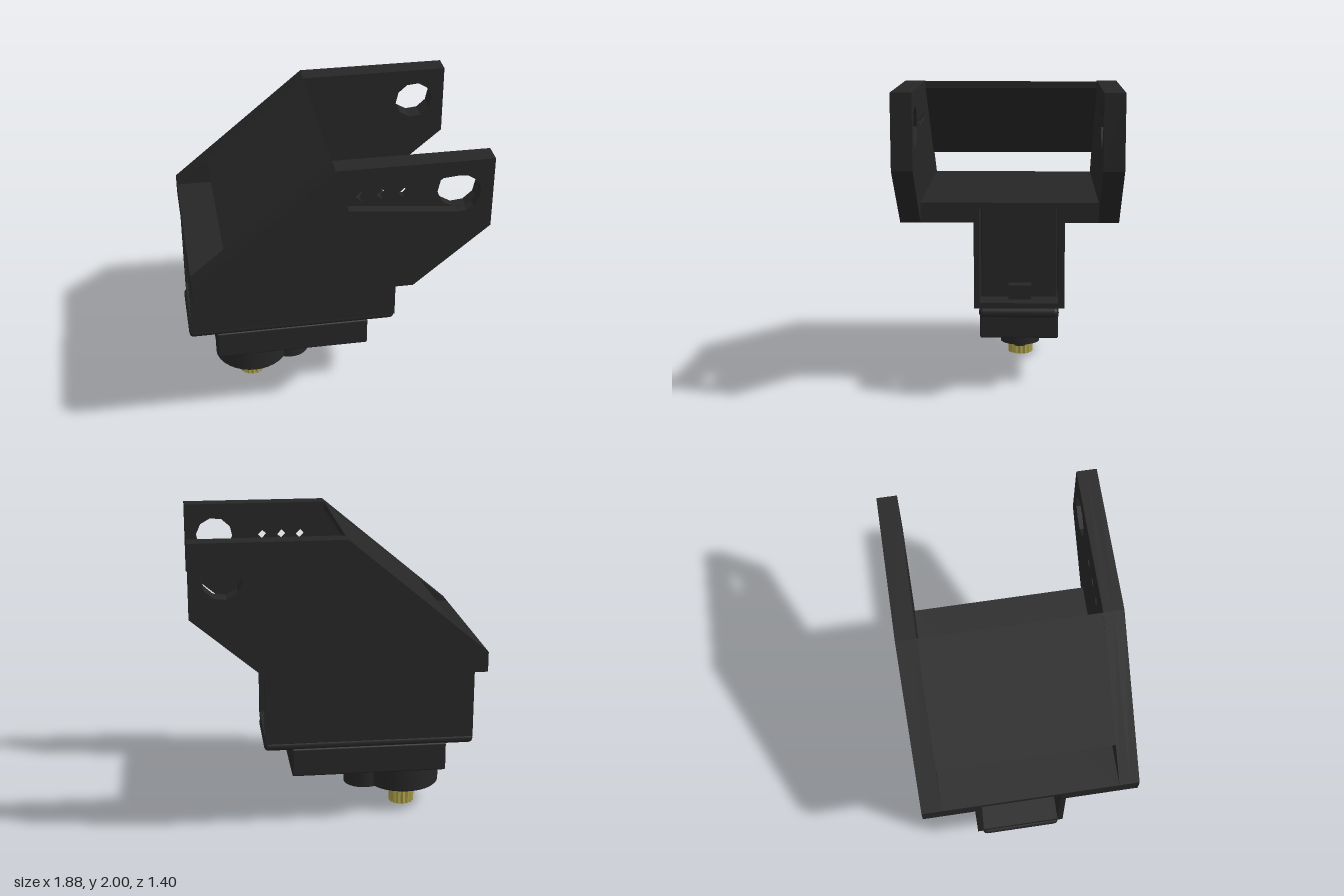
import * as THREE from 'three';
import { RoundedBoxGeometry } from 'three/addons/geometries/RoundedBoxGeometry.js';

const black = new THREE.MeshStandardMaterial({ color: 0x262626 });
const brass = new THREE.MeshStandardMaterial({ color: 0xa89c48 });
const SERVO_Z = -0.06, SHAFT_X = -0.505;

const points = (list) => list.map(([x, y]) => new THREE.Vector2(x, y));

// Polygon with holes, extruded from z0 to z1
function slab(outline, holes, z0, z1) {
  const shape = new THREE.Shape(points(outline));
  holes.forEach((h) => shape.holes.push(new THREE.Path(points(h))));
  const geo = new THREE.ExtrudeGeometry(shape, { depth: z1 - z0, bevelEnabled: false });
  return geo.translate(0, 0, z0);
}

// Regular polygon used for holes
function ring(cx, cy, r, n, turn = 0) {
  return Array.from({ length: n }, (_, i) => {
    const a = turn + (i / n) * Math.PI * 2;
    return [cx + r * Math.cos(a), cy + r * Math.sin(a)];
  });
}

// Box given by its lower and upper corners, optionally rounded
function box(x0, x1, y0, y1, z0, z1, r = 0) {
  const s = [x1 - x0, y1 - y0, z1 - z0];
  const geo = r ? new RoundedBoxGeometry(...s, 2, r) : new THREE.BoxGeometry(...s);
  return geo.translate((x0 + x1) / 2, (y0 + y1) / 2, (z0 + z1) / 2);
}

// Upright cylinder on the servo's centre line
function drum(x, r, y0, y1, rBottom = r, sides = 32) {
  return new THREE.CylinderGeometry(r, rBottom, y1 - y0, sides)
    .translate(x, (y0 + y1) / 2, SERVO_Z);
}

export function createModel() {
  const model = new THREE.Group();
  const add = (parent, name, geo, mat = black) => {
    const mesh = new THREE.Mesh(geo, mat);
    mesh.name = name;
    parent.add(mesh);
    return mesh;
  };
  const group = (name) => {
    const g = new THREE.Group();
    g.name = name;
    model.add(g);
    return g;
  };

  // Bracket: two slanted side plates joined by a floor and a sloping web
  const bracket = group('bracket');
  const outline = [[-0.93, 1.13], [0.46, 1.13], [0.935, 1.53], [0.935, 2], [-0.04, 2], [-0.93, 1.26]];
  const pivot = ring(0.73, 1.775, 0.128, 10, 0.1);
  const screwHoles = [0.13, 0.26, 0.395].map((x) => ring(x, 1.775, 0.035, 4));
  // Tapered pocket for the servo arm, running round the pivot hole
  const pocket = [[0.04, 1.84], [0.04, 1.715],
    ...Array.from({ length: 9 }, (_, i) => {
      const a = -1.65 + (i / 8) * 3.3;
      return [0.73 + 0.128 * Math.cos(a), 1.775 + 0.128 * Math.sin(a)];
    })];
  add(bracket, 'backSidePlate', slab(outline, [pivot], -0.7, -0.57));
  add(bracket, 'frontSidePlateInner', slab(outline, [pivot, ...screwHoles], 0.57, 0.635));
  add(bracket, 'frontSidePlateOuter', slab(outline, [pocket], 0.635, 0.7));
  add(bracket, 'floorPlate', box(-0.93, 0.46, 1.22, 1.26, -0.57, 0.57));
  // The floor is thicker on either side of the servo cavity
  add(bracket, 'floorRibFront', box(-0.93, 0.46, 1.13, 1.22, 0.23, 0.57));
  add(bracket, 'floorRibBack', box(-0.93, 0.46, 1.13, 1.22, -0.57, -0.355));
  add(bracket, 'slopingWeb',
    slab([[-0.715, 1.44], [-0.655, 1.44], [-0.04, 1.95], [-0.04, 1.995]], [], -0.57, 0.57));

  // Housing: rectangular sleeve open at both ends
  const sleeve = slab(
    [[-0.23, 0.565], [0.355, 0.565], [0.355, 1.24], [-0.23, 1.24]],
    [[[-0.195, 0.6], [0.315, 0.6], [0.315, 1.22], [-0.195, 1.22]]], -0.93, 0.46);
  add(model, 'servoHousing', sleeve.rotateY(Math.PI / 2));

  // Servo motor
  const servo = group('servo');
  add(servo, 'servoBody', box(-0.76, 0.28, 0.58, 1.2, -0.31, 0.19, 0.01));
  add(servo, 'cableOutlet', box(0.27, 0.36, 0.6, 0.695, -0.14, 0.01));
  add(servo, 'mountingFlange', box(-0.945, 0.465, 0.5, 0.565, -0.32, 0.2, 0.03));
  add(servo, 'lowerCase', box(-0.76, 0.28, 0.315, 0.51, -0.32, 0.2, 0.012));
  add(servo, 'gearCover', drum(SHAFT_X, 0.25, 0.17, 0.32));
  add(servo, 'gearCoverRim', drum(SHAFT_X, 0.25, 0.16, 0.17, 0.24));
  add(servo, 'idlerCover', drum(-0.235, 0.135, 0.16, 0.32));
  add(servo, 'shaftCollar', drum(SHAFT_X, 0.11, 0.135, 0.162, 0.085));
  add(servo, 'coverPin', drum(-0.24, 0.04, 0.12, 0.165, 0.04, 12));

  // Splined brass output shaft with a screw hole in its end
  const teeth = 16;
  const spline = Array.from({ length: teeth * 2 }, (_, i) => {
    const a = (i / (teeth * 2)) * Math.PI * 2, r = i % 2 ? 0.078 : 0.088;
    return [r * Math.cos(a), r * Math.sin(a)];
  });
  const shaft = slab(spline, [ring(0, 0, 0.035, 12)], 0, 0.14).rotateX(-Math.PI / 2);
  add(servo, 'outputShaft', shaft.translate(SHAFT_X, 0, SERVO_Z), brass);
  add(servo, 'shaftHoleEnd', drum(SHAFT_X, 0.045, 0.08, 0.13, 0.045, 12), brass);

  return model;
}
